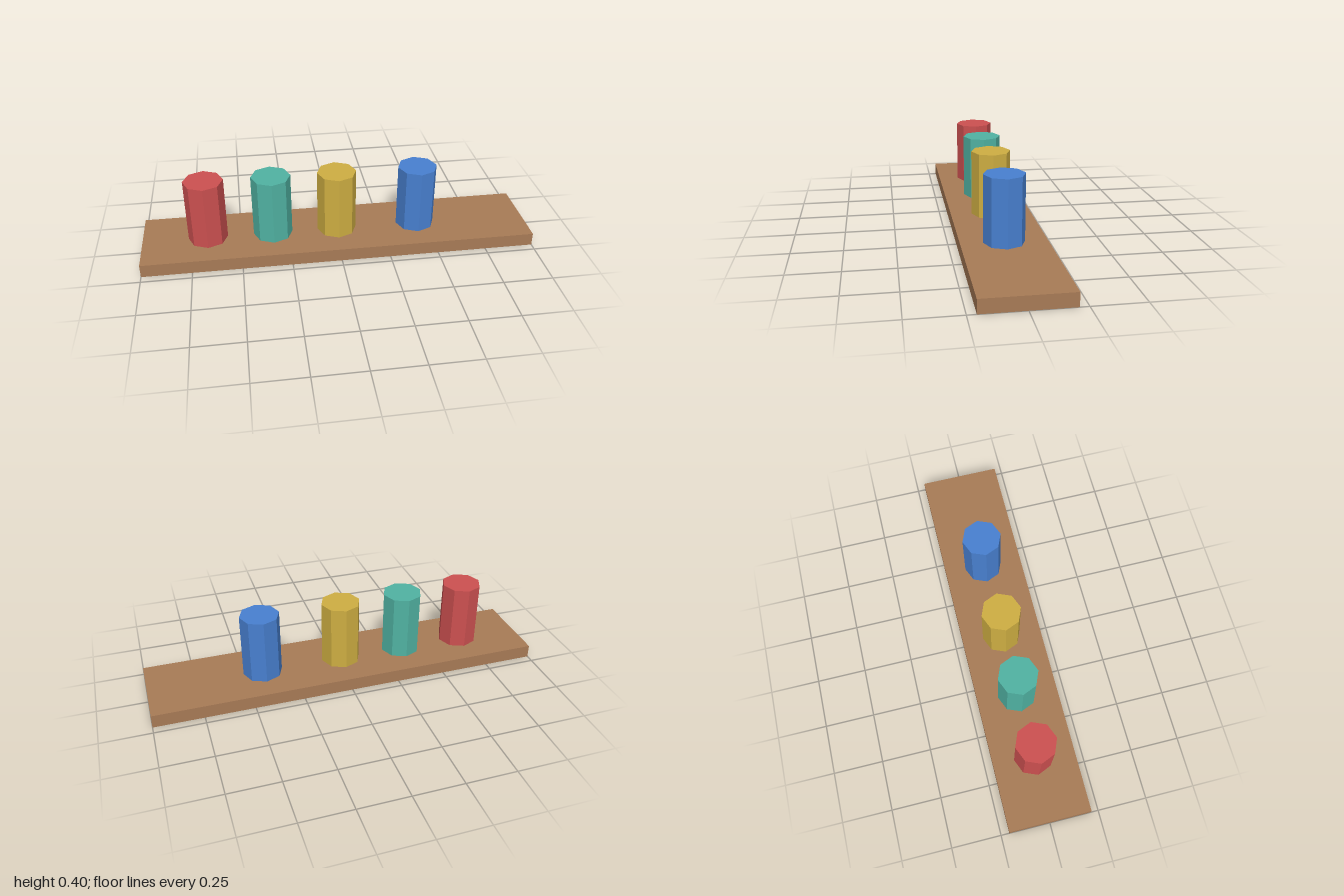
import * as THREE from 'three';

const BASE_HEIGHT = 0.0667;
const PEG_HEIGHT = 0.3333;

function material(name, color) {
  const m = new THREE.MeshStandardMaterial({ color });
  m.name = name;
  return m;
}

export function createModel() {
  const model = new THREE.Group();
  model.name = 'pegBoard';

  // Wooden board
  const board = new THREE.Mesh(
    new THREE.BoxGeometry(2, BASE_HEIGHT, 0.4167),
    material('wood brown', 0xa87b56)
  );
  board.name = 'board';
  board.position.y = BASE_HEIGHT / 2;
  model.add(board);

  // Eight-sided pegs with flat facets, the last one set further apart
  const pegGeometry = new THREE.CylinderGeometry(0.1, 0.1, PEG_HEIGHT, 8).toNonIndexed();
  pegGeometry.computeVertexNormals();
  const pegs = [
    ['red', 0xcc5050, -0.6667],
    ['teal', 0x50b2a2, -0.3333],
    ['yellow', 0xceae42, 0],
    ['blue', 0x4880d0, 0.4167],
  ];
  for (const [name, color, x] of pegs) {
    const peg = new THREE.Mesh(pegGeometry, material(name, color));
    peg.name = `${name}Peg`;
    peg.position.set(x, BASE_HEIGHT + PEG_HEIGHT / 2, 0);
    model.add(peg);
  }
  return model;
}
